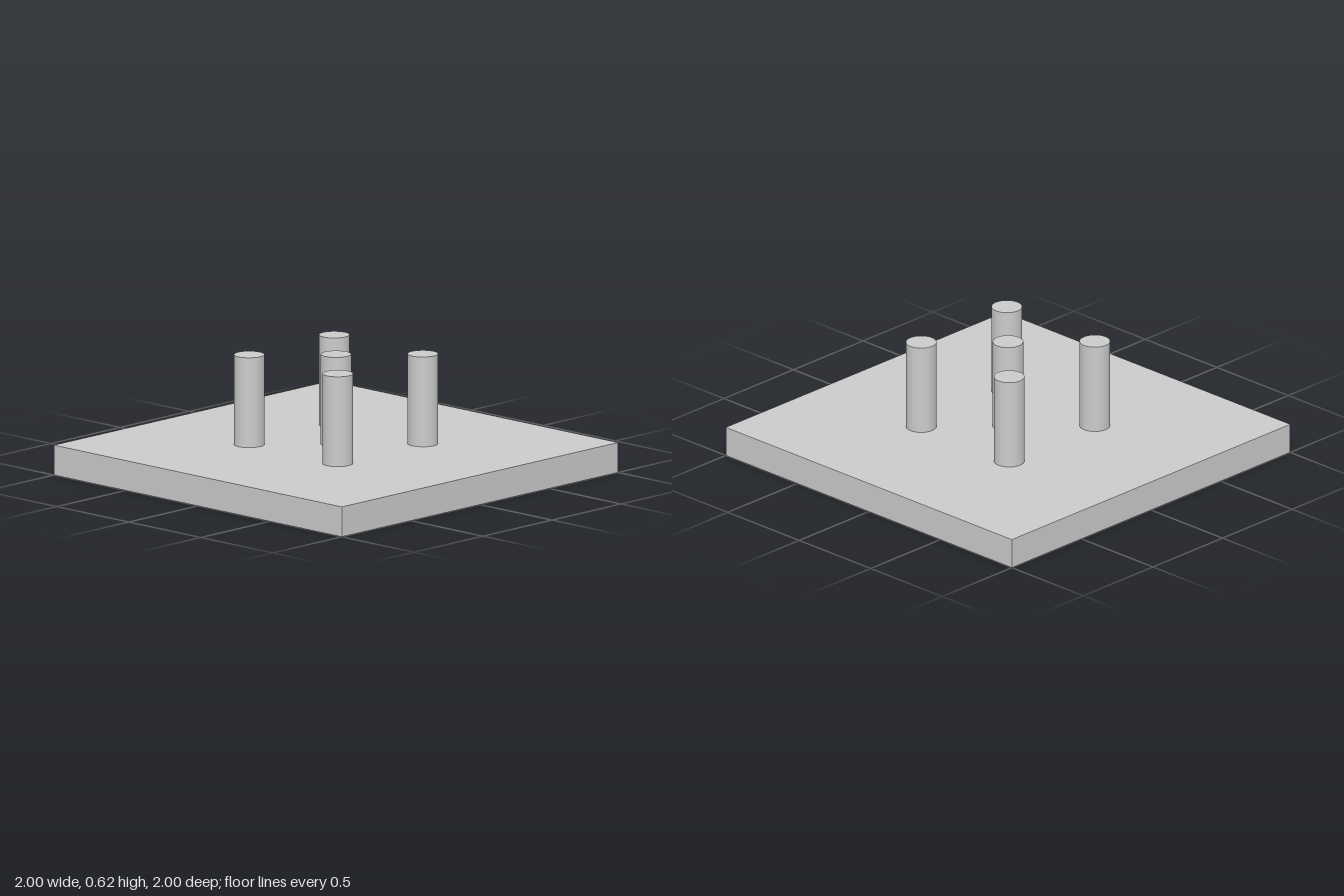
import * as THREE from 'three';

export function createModel() {
  const model = new THREE.Group();
  const material = new THREE.MeshStandardMaterial({ color: 0xcccccc });

  const unit = 2 / 13; // the plate is 13 units wide and 1 thick
  const pegHeight = 3 * unit;

  // Square base plate
  const plate = new THREE.Mesh(new THREE.BoxGeometry(2, unit, 2), material);
  plate.name = 'basePlate';
  plate.position.y = unit / 2;
  model.add(plate);

  // Five round pegs: one in the centre, four around it in a square
  const pegGeometry = new THREE.CylinderGeometry(unit / 2, unit / 2, pegHeight, 32);
  const pegs = {
    centrePeg: [0, 0],
    frontLeftPeg: [2, 2],
    frontRightPeg: [-2, 2],
    backLeftPeg: [2, -2],
    backRightPeg: [-2, -2],
  };
  for (const [name, [x, z]] of Object.entries(pegs)) {
    const peg = new THREE.Mesh(pegGeometry, material);
    peg.name = name;
    peg.position.set(x * unit, unit + pegHeight / 2, z * unit);
    model.add(peg);
  }

  return model;
}
